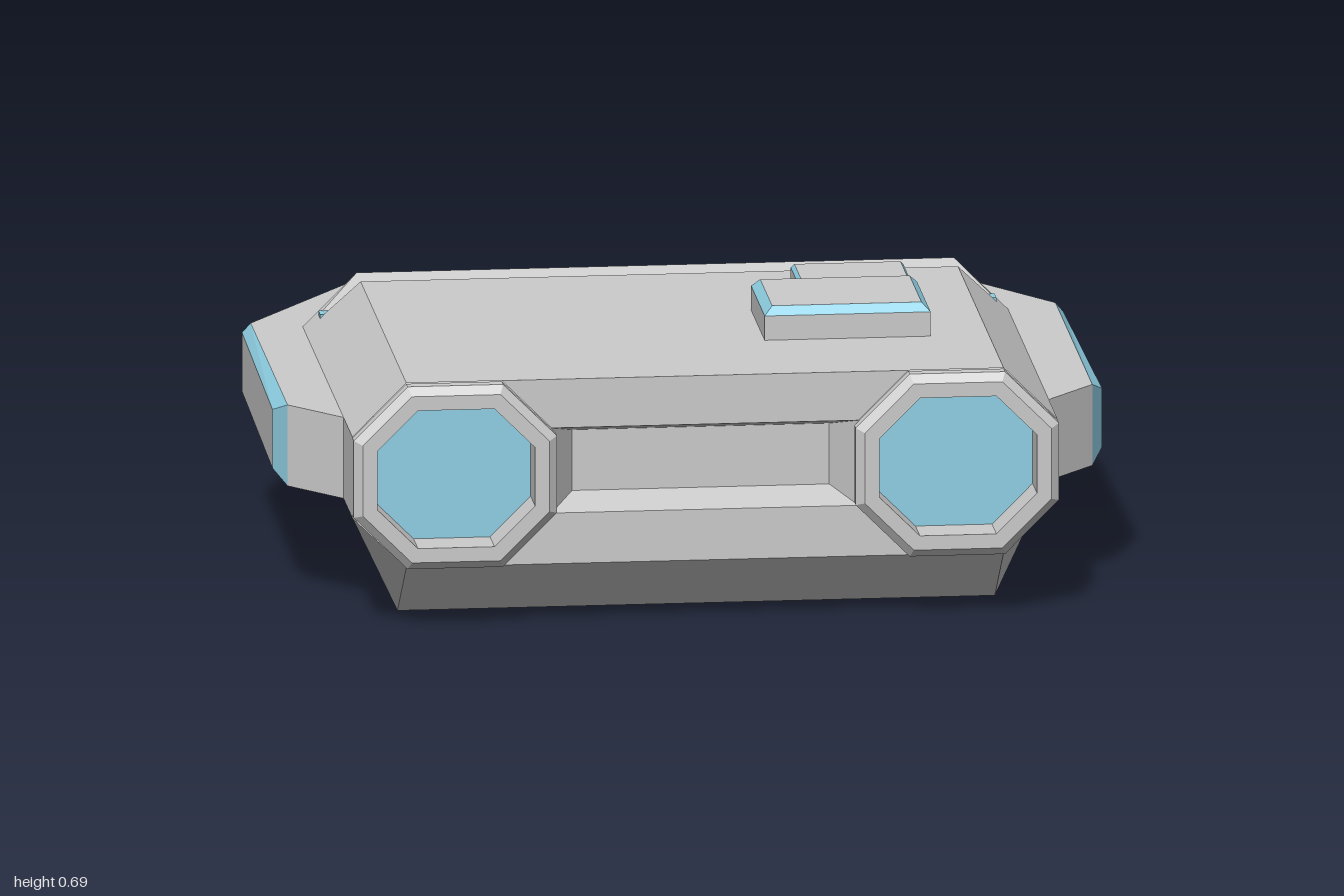
import * as THREE from 'three';

const grey = new THREE.MeshStandardMaterial({ color: 0xcccccc, flatShading: true, side: THREE.DoubleSide });
const blue = new THREE.MeshStandardMaterial({ color: 0x8fd0e4, flatShading: true, side: THREE.DoubleSide });

// Mesh from convex polygons, each a counter-clockwise list of [x, y, z]
function polyMesh(name, polys, material = grey) {
  const pos = [];
  for (const p of polys)
    for (let i = 1; i < p.length - 1; i++) pos.push(...p[0], ...p[i], ...p[i + 1]);
  const g = new THREE.BufferGeometry();
  g.setAttribute('position', new THREE.Float32BufferAttribute(pos, 3));
  g.computeVertexNormals();
  const mesh = new THREE.Mesh(g, material);
  mesh.name = name;
  return mesh;
}

// Quads joining loop a to loop b, which lies behind or below it
function band(a, b, closed = true) {
  const quads = [];
  for (let i = 0; i < a.length - (closed ? 0 : 1); i++) {
    const j = (i + 1) % a.length;
    quads.push([a[i], b[i], b[j], a[j]]);
  }
  return quads;
}

const flip = (p) => p.map(([x, y, z]) => [-x, y, z]).reverse();
const mirrored = (half) => [...half, ...flip(half)];

// Hull: sections along z, with a groove across the top
function hull() {
  const sections = [
    // z, top x, top y, bottom y
    [0.8, 0.72, 0.61, 0.155], [0.6, 0.72, 0.61, 0], [-0.23, 0.72, 0.61, 0],
    [-0.26, 0.81, 0.52, 0], [-0.29, 0.81, 0.52, 0], [-0.32, 0.72, 0.61, 0],
  ].map(([z, tx, ty, by]) => mirrored([[0.72, by, z], [0.85, 0.28, z], [0.85, 0.48, z], [tx, ty, z]]));
  const polys = [];
  for (let i = 1; i < sections.length; i++) polys.push(...band(sections[i - 1], sections[i]));

  // Sloping rear with cut corners
  const [D, C, B, A] = sections.at(-1);
  const E = [0.72, 0.48, -0.48], F = [0.72, 0.28, -0.62], G = [0.85, 0.28, -0.45];
  polys.push(mirrored([A, E]), [D, ...flip([F, D]), F]);
  for (const t of [[A, B, E], [D, F, G], [D, G, C]]) polys.push(t, flip(t));

  // Front strips above and below the recess
  polys.push(mirrored([[0.37, 0.49, 0.8], [0.49, 0.61, 0.8]]));
  polys.push(mirrored([[0.49, 0.155, 0.8], [0.37, 0.28, 0.8]]));
  return polyMesh('hull', polys);
}

// Sunken panel between the front pods
function frontRecess() {
  const rect = (w, y0, y1, z) => mirrored([[w, y0, z], [w, y1, z]]);
  const inner = rect(0.31, 0.31, 0.46, 0.7);
  return polyMesh('frontRecess', [...band(inner, rect(0.37, 0.28, 0.49, 0.8)), inner]);
}

// Octagonal pod with a chamfered rim and a recessed lens
function pod(side) {
  const octagon = (inset, z) => {
    const w = 0.245 - inset, h = 0.225 - inset, c = 0.13 - 0.586 * inset;
    return [[w, c - h], [w, h - c], [w - c, h], [c - w, h], [-w, h - c], [-w, c - h], [c - w, -h], [w - c, -h]]
      .map(([x, y]) => [x + side * 0.605, y + 0.383, z]);
  };
  const loops = [[0, 0.8], [0, 0.83], [0.02, 0.85], [0.055, 0.85], [0.055, 0.75]].map((l) => octagon(...l));
  const polys = [];
  for (let i = 1; i < loops.length; i++) polys.push(...band(loops[i], loops[i - 1]));
  const g = new THREE.Group();
  g.name = side > 0 ? 'leftPod' : 'rightPod';
  g.add(polyMesh('podRim', polys), polyMesh('podLens', [loops.at(-1)], blue));
  return g;
}

// Wide skirt wrapping the sides and the back
function skirt() {
  const outer = [[1, 0.4], [0.99, -0.38], [0.65, -0.855]];
  const inner = [[0.97, 0.46], [0.97, -0.37], [0.635, -0.83]];
  const path = (pts, y) => mirrored(pts.map(([x, z]) => [x, y, z]));
  const levels = [path(inner, 0.48), path(outer, 0.455), path(outer, 0.31), path(inner, 0.28)];
  const plate = (y) => path([[0.85, 0.6], ...inner], y);
  const top = plate(0.48), bottom = plate(0.28);
  const end = [levels[0][0], levels[3][0], levels[2][0], levels[1][0]];
  const g = new THREE.Group();
  g.name = 'skirt';
  g.add(
    polyMesh('skirtPlate', [top, [...bottom].reverse(), ...band(top, bottom)]),
    polyMesh('skirtSide', band(levels[1], levels[2], false)),
    polyMesh('skirtTrim', [
      ...band(levels[0], levels[1], false), ...band(levels[2], levels[3], false), end, flip(end),
    ], blue),
  );
  return g;
}

// Raised box on the roof with a chamfered trim
function roofBox(name, x0, x1, z0, z1, y1, inset, drop) {
  const rect = (d, y) => [[x1 - d, y, z1 - d], [x1 - d, y, z0 + d], [x0 + d, y, z0 + d], [x0 + d, y, z1 - d]];
  const top = rect(inset, y1), edge = rect(0, y1 - drop), base = rect(0, 0.6);
  const g = new THREE.Group();
  g.name = name;
  g.add(polyMesh('boxBody', [top, ...band(edge, base)]), polyMesh('boxTrim', band(top, edge), blue));
  return g;
}

export function createModel() {
  const model = new THREE.Group();
  model.name = 'model';
  model.add(hull(), frontRecess(), pod(1), pod(-1), skirt());
  model.add(roofBox('largeRoofBox', 0.18, 0.58, 0.155, 0.463, 0.69, 0.02, 0.02));
  model.add(roofBox('smallRoofBox', 0.305, 0.577, -0.12, 0.043, 0.655, 0.008, 0.01));

  // Light strip in the roof groove
  const strip = new THREE.Mesh(new THREE.BoxGeometry(1.63, 0.02, 0.04), blue);
  strip.name = 'grooveStrip';
  strip.position.set(0, 0.515, -0.273);
  model.add(strip);
  return model;
}
